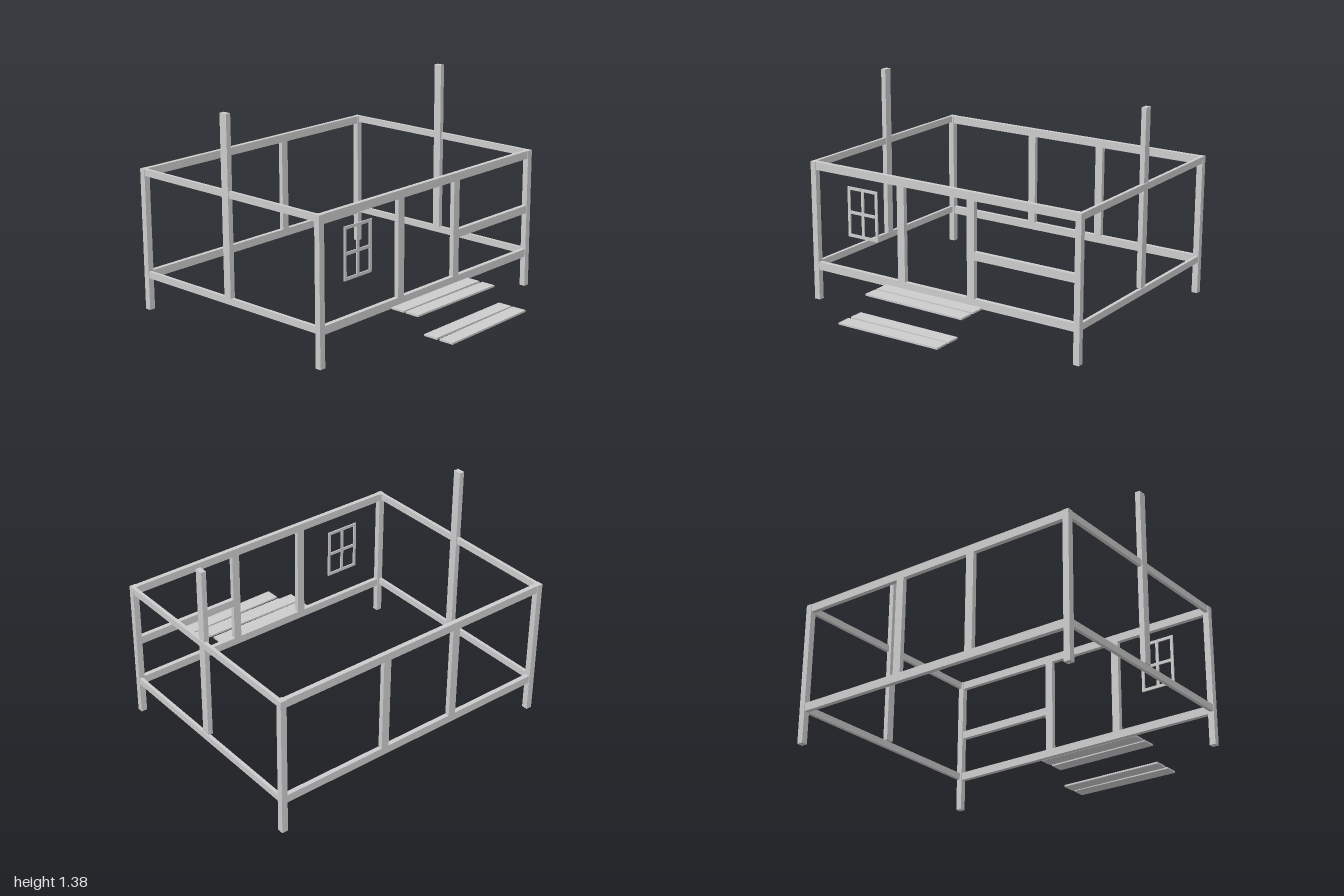
import * as THREE from 'three';

const material = new THREE.MeshStandardMaterial({ color: 0xcccccc, flatShading: true });

// Box given by its ranges along x, y and z, optionally turned about y
function beam(parent, name, [x0, x1], [y0, y1], [z0, z1], turn = 0) {
  const mesh = new THREE.Mesh(new THREE.BoxGeometry(x1 - x0, y1 - y0, z1 - z0), material);
  mesh.position.set((x0 + x1) / 2, (y0 + y1) / 2, (z0 + z1) / 2);
  mesh.rotation.y = turn;
  mesh.name = name;
  parent.add(mesh);
}

function subGroup(parent, name) {
  const group = new THREE.Group();
  group.name = name;
  parent.add(group);
  return group;
}

export function createModel() {
  const model = new THREE.Group();
  model.name = 'houseFrame';

  const sides = [['right', [-0.993, -0.953]], ['left', [0.95, 0.99]]];
  const lower = [0.202, 0.254], upper = [0.864, 0.916];
  const bay = [lower[1], upper[0]];

  // Front and back walls: corner posts, long beams and studs
  const walls = [
    ['front', [0.481, 0.519], [0.485, 0.515], [-0.316, -0.263]],
    ['back', [-1, -0.96], [-0.996, -0.966], [-0.326, -0.273]],
  ];
  for (const [name, postZ, beamZ, studX] of walls) {
    const wall = subGroup(model, name + 'Wall');
    for (const [side, x] of sides) beam(wall, side + 'CornerPost', x, [0, 0.916], postZ);
    beam(wall, 'floorBeam', [-0.99, 0.988], lower, beamZ);
    beam(wall, 'topBeam', [-0.99, 0.988], upper, beamZ);
    beam(wall, 'rightStud', studX, bay, beamZ);
    beam(wall, 'leftStud', [0.202, 0.255], bay, beamZ);
    if (name === 'front') beam(wall, 'middleRail', [0.255, 0.95], [0.498, 0.55], beamZ);
  }

  // Side walls: thin rails and a tall ridge post
  const sideWalls = [
    ['right', [-0.989, -0.967], [-0.995, -0.961]],
    ['left', [0.966, 0.988], [0.95, 0.982]],
  ];
  for (const [name, railX, postX] of sideWalls) {
    const wall = subGroup(model, name + 'Wall');
    beam(wall, 'floorRail', railX, [0.211, 0.254], [-0.96, 0.481]);
    beam(wall, 'topRail', railX, [0.873, 0.916], [-0.96, 0.481]);
    beam(wall, 'ridgePost', postX, [0.254, 1.378], [-0.265, -0.211]);
  }

  // Window frame with crossing bars
  const win = subGroup(model, 'window');
  const winZ = [0.464, 0.472], bar = 0.019;
  for (const x of [-0.738, -0.63, -0.523]) {
    beam(win, 'uprightBar', [x, x + bar], [0.455, 0.782], winZ);
  }
  for (const y of [0.455, 0.607, 0.763]) {
    for (const x of [-0.719, -0.611]) {
      beam(win, 'crossBar', [x, x + 0.088], [y, y + bar], winZ);
    }
  }

  // Two steps, each of two loosely laid boards
  const steps = subGroup(model, 'steps');
  const boardX = [-0.396, 0.325];
  const boards = [
    ['upperStepBoard', 0.209, 0.533, 0],
    ['upperStepBoard', 0.209, 0.646, -0.01],
    ['lowerStepBoard', 0.105, 0.784, 0.003],
    ['lowerStepBoard', 0.105, 0.896, 0.017],
  ];
  for (const [name, y, z, turn] of boards) {
    beam(steps, name, boardX, [y, y + 0.012], [z, z + 0.095], turn);
  }
  return model;
}
